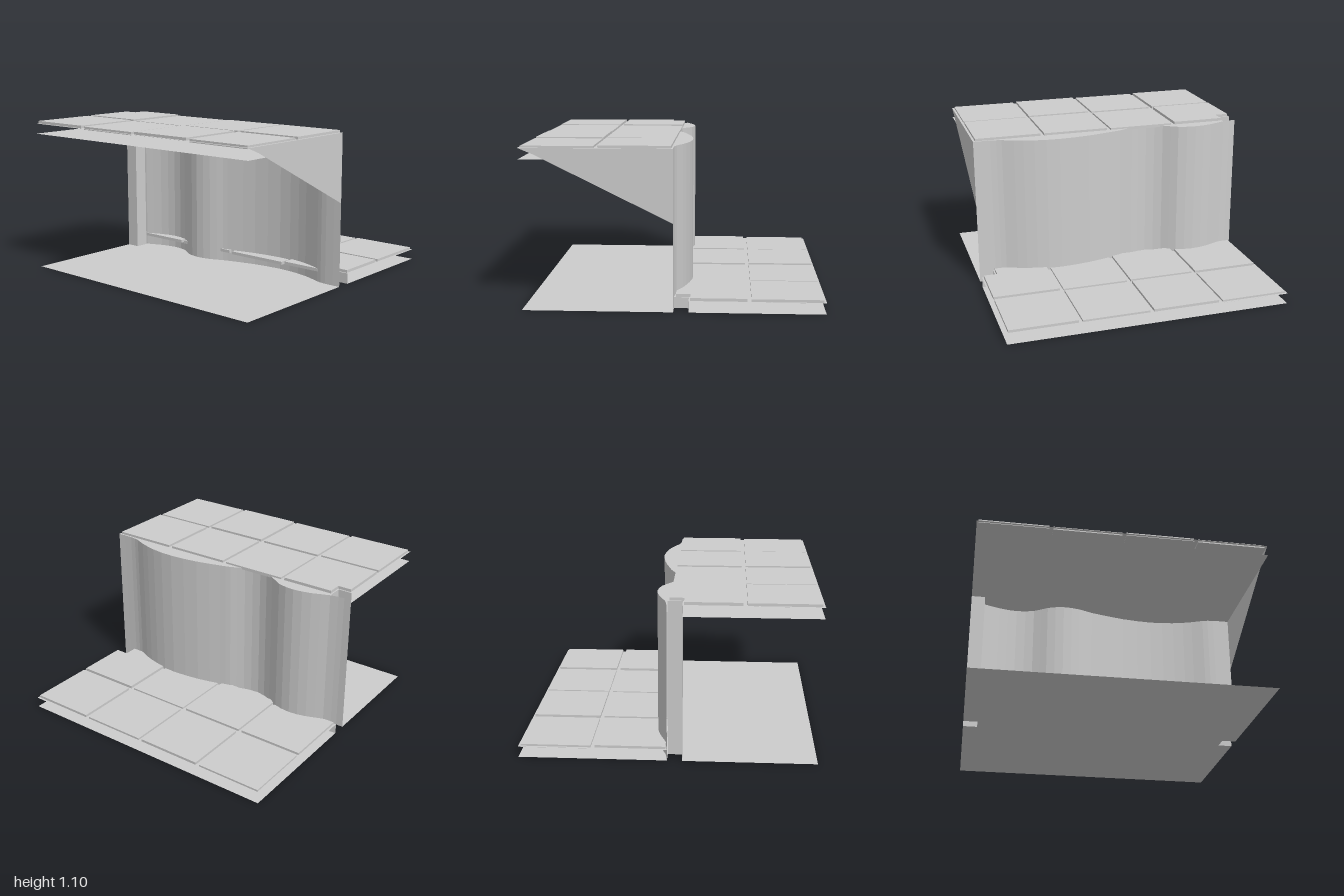
import * as THREE from 'three';

const stone = new THREE.MeshStandardMaterial({ color: 0xcccccc, side: THREE.DoubleSide });
stone.name = 'paleStone';

const TOP = 1.075, LOW = 0.075;
const vecs = (list) => list.map(([x, z]) => new THREE.Vector2(x, z));

// wavy cliff line seen from above, as x and z
const cliff = new THREE.SplineCurve(vecs([
  [-1, 0], [-0.9, -0.015], [-0.78, -0.06], [-0.65, -0.083], [-0.52, -0.06], [-0.42, 0.005],
  [-0.3, 0.037], [-0.18, 0.02], [-0.08, -0.02], [0, -0.042], [0.18, -0.085], [0.4, -0.107],
  [0.58, -0.09], [0.72, -0.05], [0.8, -0.015], [0.88, 0], [1, 0],
])).getPoints(32);

function add(group, name, geometry, y = 0) {
  const mesh = new THREE.Mesh(geometry, stone);
  mesh.name = name;
  mesh.position.y = y;
  group.add(mesh);
}

// flat sheet from an outline in x and z
const sheet = (points) => new THREE.ShapeGeometry(new THREE.Shape(points)).rotateX(Math.PI / 2);

// upright strip following a line in x and z, with flat facets
function strip(points, height) {
  const geo = new THREE.PlaneGeometry(1, height, points.length - 1, 1);
  const pos = geo.attributes.position;
  for (let i = 0; i < pos.count; i++) {
    const p = points[i % points.length];
    pos.setXYZ(i, p.x, pos.getY(i) + height / 2, p.y);
  }
  const flat = geo.toNonIndexed();
  flat.computeVertexNormals();
  return flat;
}

// paving slab; sign turns the layout half round for the lower level
function slab(col, row, sign) {
  const x0 = -0.988 + col * 0.5, x1 = x0 + 0.472;
  const z0 = 0.012 + row * 0.5, z1 = z0 + 0.472;
  const outline = col === 0 && row === 0
    ? [[-0.89, z0], [x1, z0], [x1, z1], [x0, z1], [x0, 0.11], [-0.89, 0.11]]
    : [[x0, z0], [x1, z0], [x1, z1], [x0, z1]];
  const shape = new THREE.Shape(vecs(outline.map(([x, z]) => [x * sign, z * sign])));
  return new THREE.ExtrudeGeometry(shape, { depth: 0.022, bevelEnabled: false }).rotateX(Math.PI / 2);
}

export function createModel() {
  const model = new THREE.Group();
  model.name = 'cliffTile';

  // ground with a square notch at each end of the cliff
  add(model, 'ground', sheet(vecs([
    [-1, -1], [1, -1], [1, -0.1], [0.9, -0.1], [0.9, 0], [1, 0],
    [1, 1], [-1, 1], [-1, 0.1], [-0.9, 0.1], [-0.9, 0], [-1, 0],
  ])));

  // floors of both levels, trimmed to the cliff line
  const upperEdge = cliff.filter((p) => p.x > -0.9);
  const upper = [...vecs([[-0.9, -0.015]]), ...upperEdge,
    ...vecs([[1, 1], [-1, 1], [-1, 0.1], [-0.9, 0.1]])];
  const lowerEdge = cliff.filter((p) => p.x < 0.9);
  const lower = [...lowerEdge,
    ...vecs([[0.9, 0], [0.9, -0.1], [1, -0.1], [1, -1], [-1, -1]])];
  add(model, 'upperFloor', sheet(upper), TOP);
  add(model, 'upperUnderside', sheet(upper), 1.0);
  add(model, 'lowerFloor', sheet(lower), LOW);

  // paving on both levels
  const lift = [0.02, 0.012, 0.016, 0.017, 0.018, 0.014, 0.018, 0.013];
  for (let row = 0; row < 2; row++) {
    for (let col = 0; col < 4; col++) {
      const h = lift[row * 4 + col];
      add(model, 'upperSlab', slab(col, row, 1), TOP + h);
      add(model, 'lowerSlab', slab(col, row, -1), LOW + h);
    }
  }

  // cliff wall and the notch linings
  add(model, 'cliffWall', strip(cliff, TOP));
  add(model, 'leftNotchLining', strip(vecs([[-1, 0.1], [-0.9, 0.1], [-0.9, 0]]), TOP));
  add(model, 'rightNotchLining', strip(vecs([[1, -0.1], [0.9, -0.1], [0.9, 0]]), LOW));

  // tapering panel closing one end of the overhang
  const panel = new THREE.Shape(vecs([[0, 0.59], [0, TOP], [-1, TOP], [-0.9, 1.035]]));
  const panelGeo = new THREE.ShapeGeometry(panel).rotateY(Math.PI / 2).translate(1, 0, 0);
  add(model, 'endPanel', panelGeo);

  return model;
}
